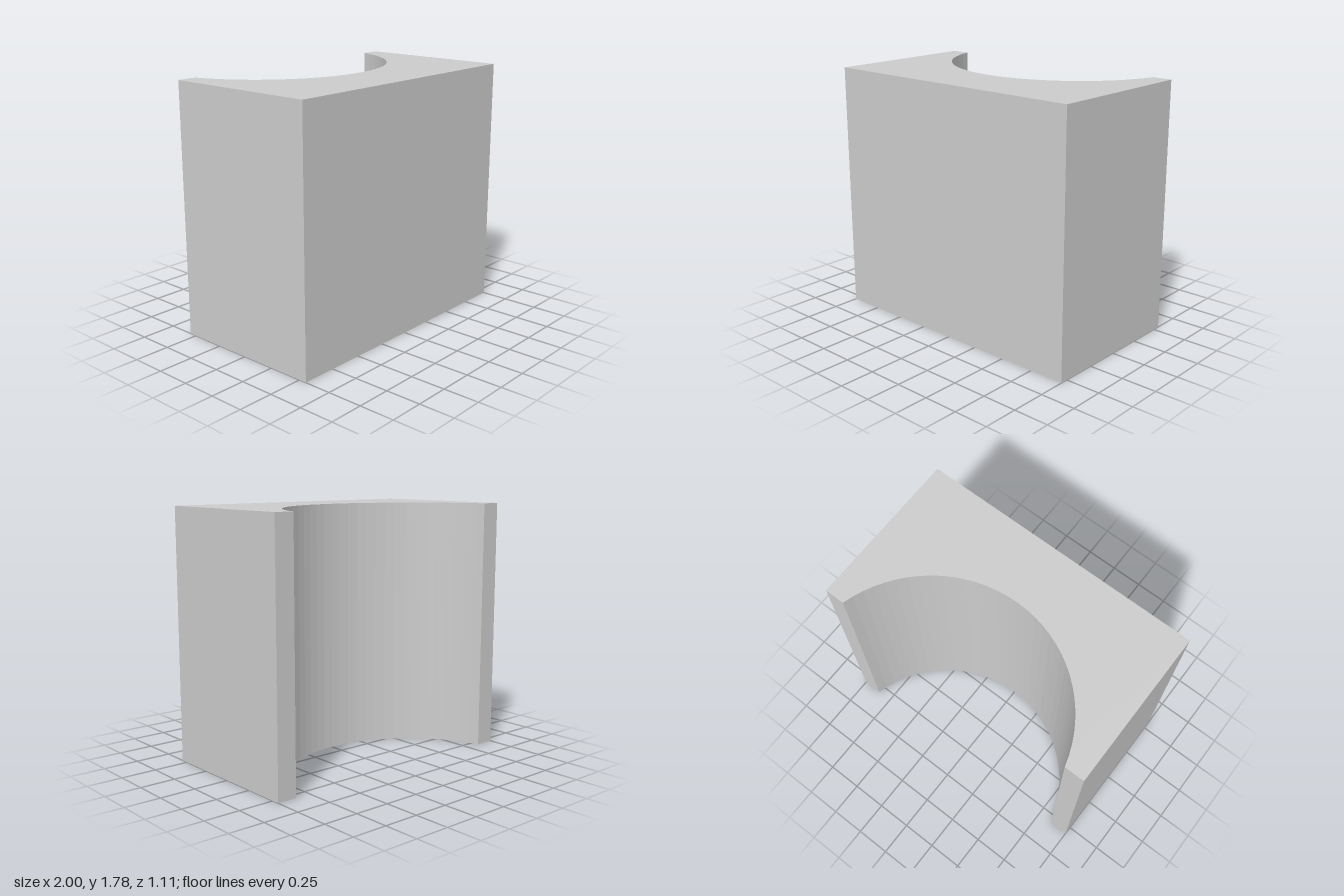
import * as THREE from 'three';

export function createModel() {
  const group = new THREE.Group();
  const height = 16 / 9;
  const halfDepth = 5 / 9;
  const radius = 8 / 9;
  const centre = 7 / 9; // axis of the hollow, behind the back face
  const start = -Math.asin((centre - halfDepth) / radius);

  // Plan outline: a rectangle with a round hollow cut into its back
  const plan = new THREE.Shape();
  plan.moveTo(-1, -halfDepth);
  plan.lineTo(1, -halfDepth);
  plan.lineTo(1, halfDepth);
  plan.lineTo(radius * Math.cos(start), halfDepth);
  plan.absarc(0, centre, radius, start, -Math.PI - start, true);
  plan.lineTo(-1, halfDepth);
  plan.closePath();

  // Stand the plan up so the hollow faces -z
  const geometry = new THREE.ExtrudeGeometry(plan, {
    depth: height,
    bevelEnabled: false,
    curveSegments: 16,
  });
  geometry.rotateX(-Math.PI / 2);

  const block = new THREE.Mesh(
    geometry,
    new THREE.MeshStandardMaterial({ color: 0xcccccc, flatShading: true })
  );
  block.name = 'hollowedBlock';
  group.add(block);
  return group;
}
